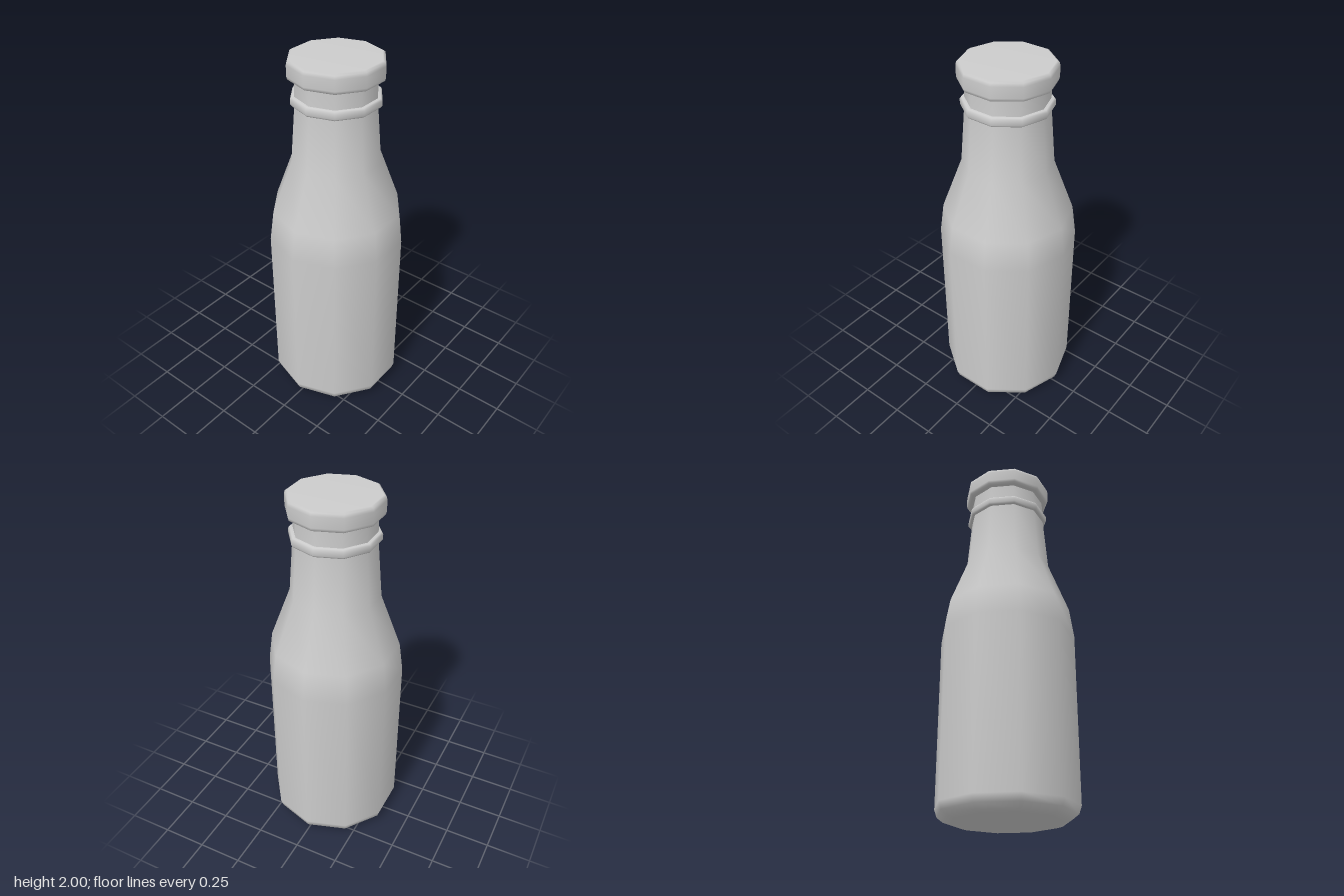
import * as THREE from 'three';

const SIDES = 10;
const material = new THREE.MeshStandardMaterial({ color: 0xcccccc });

// Revolves a profile of [radius, y] pairs, listed from bottom to top.
// A repeated point makes a sharp edge.
function turned(name, profile) {
  const points = profile.map(([r, y]) => new THREE.Vector2(r, y));
  const mesh = new THREE.Mesh(new THREE.LatheGeometry(points, SIDES), material);
  mesh.name = name;
  return mesh;
}

export function createModel() {
  const bottle = new THREE.Group();
  bottle.name = 'bottle';

  // Body with rounded foot, sloping shoulder and narrow neck
  bottle.add(turned('body', [
    [0, 0], [0.29, 0], [0.325, 0.01], [0.358, 0.035], [0.372, 0.075],
    [0.372, 1.0], [0.349, 1.165], [0.24, 1.455], [0.213, 1.78], [0.211, 1.91],
  ]));

  // Bead around the neck, a closed rounded section
  bottle.add(turned('neckRing', [
    [0.205, 1.763], [0.227, 1.763], [0.235, 1.773], [0.235, 1.799],
    [0.227, 1.81], [0.205, 1.81],
  ]));

  // Closed cap with softened rims
  bottle.add(turned('cap', [
    [0, 1.897], [0.232, 1.897], [0.244, 1.903], [0.248, 1.918],
    [0.248, 1.975], [0.244, 1.992], [0.232, 2.0], [0, 2.0],
  ]));

  return bottle;
}
